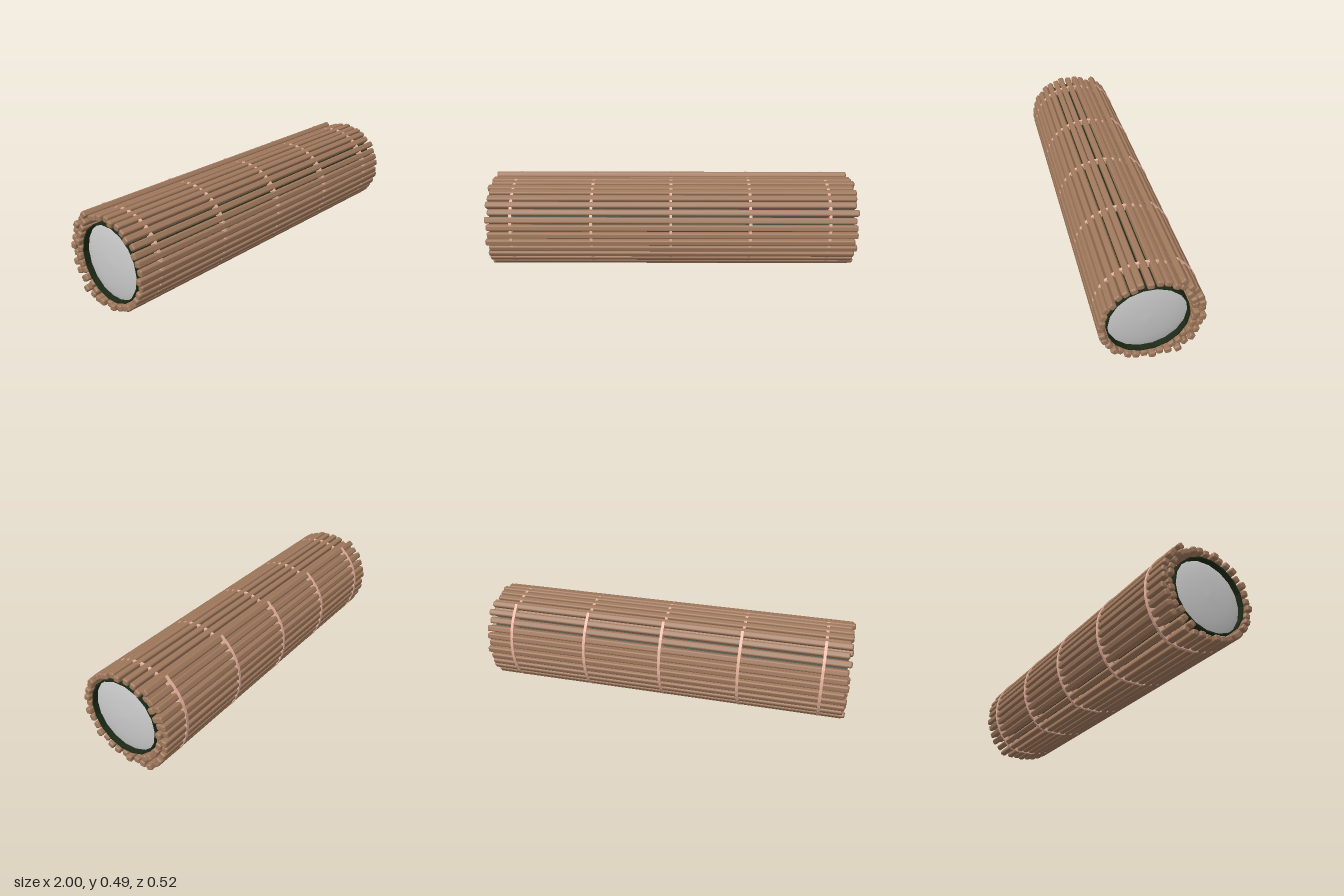
import * as THREE from 'three';
import { RoundedBoxGeometry } from 'three/addons/geometries/RoundedBoxGeometry.js';

// Stick centres along the spiral in the end plane, in hundredths of the unit grid
// (a = -z, b = y), from the inner edge of the mat to its outer edge.
const SPIRAL = [
  [10, 6.1], [13.2, 8.6], [15.9, 11.3], [18, 14.6], [19.4, 18], [20.3, 21.5], [20.6, 25.2],
  [20.3, 29.3], [19.3, 33.3], [17.2, 37.3], [13.7, 41.9], [10, 44.5], [6.4, 46.1], [2.5, 47.1],
  [-2, 47.4], [-6.3, 46.8], [-9.7, 45.8], [-13.4, 44.2], [-16.6, 41.9], [-19.5, 38.9],
  [-21.8, 35.5], [-23.2, 31.8], [-24.1, 27.8], [-24.3, 23.7], [-23.9, 20], [-22.7, 16],
  [-20.5, 12.3], [-18, 9.1], [-15, 6.6], [-11.4, 4.6], [-7.5, 3.2], [-3.4, 2.3], [0.4, 2.1],
  [4.5, 2.1], [8.4, 2.1], [13, 2.8], [16.3, 5.5], [19.3, 9.4], [21.4, 13.4], [23, 17.8],
  [23.8, 22.1], [23.8, 26.6], [23.4, 30.4], [22.1, 34.6], [20, 38.6], [17.3, 42.1], [13.9, 45.5],
].map(([a, b]) => new THREE.Vector2(a / 100, b / 100));

const wood = new THREE.MeshStandardMaterial({ color: 0x9f785c });
const cord = new THREE.MeshStandardMaterial({ color: 0xe8b49e });
const seaweed = new THREE.MeshStandardMaterial({ color: 0x1d2a16, flatShading: true, side: THREE.DoubleSide });
const grey = new THREE.MeshStandardMaterial({ color: 0xcccccc });

function tangent(i) {
  const a = SPIRAL[Math.max(i - 1, 0)];
  const b = SPIRAL[Math.min(i + 1, SPIRAL.length - 1)];
  return b.clone().sub(a).normalize();
}

// Ribbon outline that follows the spiral, thicker on the overlapping outer turn
function cordShape() {
  const outer = [], inner = [];
  SPIRAL.forEach((p, i) => {
    const t = tangent(i);
    const n = new THREE.Vector2(t.y, -t.x);
    outer.push(p.clone().addScaledVector(n, i > 31 ? 0.02 : 0.015));
    inner.push(p.clone().addScaledVector(n, -0.015));
  });
  // run the cord a little past the first and last stick
  const first = tangent(0), last = tangent(SPIRAL.length - 1), end = SPIRAL.length - 1;
  for (const side of [outer, inner]) {
    side[0].addScaledVector(first, -0.022);
    side[end].addScaledVector(last, 0.01);
  }
  return new THREE.Shape([...outer, ...inner.reverse()]);
}

export function createModel() {
  const model = new THREE.Group();

  // Bamboo sticks, each with a slightly different offset and skew
  const sticks = new THREE.Group();
  sticks.name = 'matSticks';
  const stickGeometry = new RoundedBoxGeometry(1.984, 0.033, 0.034, 3, 0.0095);
  SPIRAL.forEach((p, i) => {
    const stick = new THREE.Mesh(stickGeometry, wood);
    const t = tangent(i);
    stick.name = 'stick';
    stick.position.set(0.008 * Math.sin(i * 2.4), p.y, -p.x);
    stick.rotation.x = Math.atan2(t.y, t.x);
    stick.rotation.y = 0.001 * Math.sin(i * 5.1);
    sticks.add(stick);
  });
  model.add(sticks);

  // Five cords binding the sticks
  const cords = new THREE.Group();
  cords.name = 'matCords';
  const cordGeometry = new THREE.ExtrudeGeometry(cordShape(), { depth: 0.015, bevelEnabled: false });
  cordGeometry.translate(0, 0, -0.0075).rotateY(Math.PI / 2);
  for (const x of [-0.86, -0.43, -0.005, 0.42, 0.845]) {
    const mesh = new THREE.Mesh(cordGeometry, cord);
    mesh.name = 'cord';
    mesh.position.x = x;
    cords.add(mesh);
  }
  model.add(cords);

  // Roll inside the mat: 18-sided wrapper and domed filling, turned about the x axis
  const roll = new THREE.Group();
  roll.name = 'roll';
  roll.position.set(0, 0.247, 0.02);
  const turned = (profile, material, name) => {
    const points = profile.map(([r, h]) => new THREE.Vector2(r, h));
    const mesh = new THREE.Mesh(new THREE.LatheGeometry(points, 18).rotateZ(-Math.PI / 2), material);
    mesh.name = name;
    roll.add(mesh);
  };
  turned([[0.194, -0.98], [0.201, -0.98], [0.201, 0.98], [0.194, 0.98], [0.194, -0.98]], seaweed, 'wrapper');
  const dome = [[0.195, 0.95], [0.17, 0.958], [0.12, 0.966], [0.06, 0.971], [0, 0.973]];
  const bottom = dome.map(([r, h]) => [r, -h]).reverse();
  turned(bottom, grey, 'fillingRightEnd');
  turned(dome, grey, 'fillingLeftEnd');
  model.add(roll);

  return model;
}
